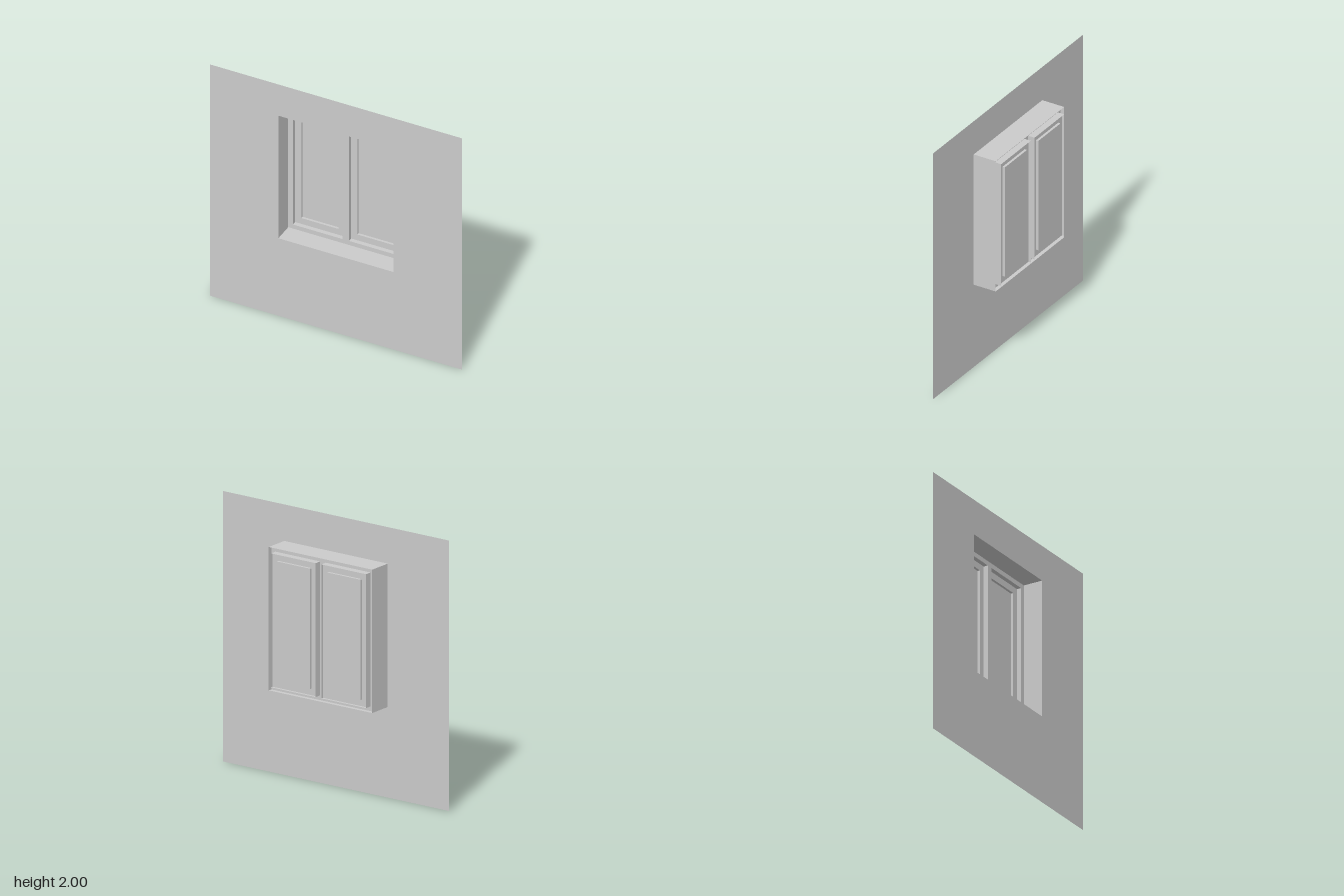
import * as THREE from 'three';
import { mergeGeometries } from 'three/addons/utils/BufferGeometryUtils.js';

const material = new THREE.MeshStandardMaterial({ color: 0xcccccc, side: THREE.DoubleSide });

// Rectangle as centre and half sizes
const rect = (x, y, hw, hh) => ({ x, y, hw, hh });

function trace(path, { x, y, hw, hh }) {
  path.moveTo(x - hw, y - hh);
  path.lineTo(x + hw, y - hh);
  path.lineTo(x + hw, y + hh);
  path.lineTo(x - hw, y + hh);
  path.closePath();
  return path;
}

// Flat sheet facing +z with rectangular openings
function sheet(name, outer, holes, z) {
  const shape = trace(new THREE.Shape(), outer);
  shape.holes = holes.map((h) => trace(new THREE.Path(), h));
  const mesh = new THREE.Mesh(new THREE.ShapeGeometry(shape), material);
  mesh.position.z = z;
  mesh.name = name;
  return mesh;
}

// Four thin walls around a rectangle, facing inward, from z0 back to z1
function sleeve(name, { x, y, hw, hh }, z0, z1) {
  const depth = z0 - z1;
  const zMid = (z0 + z1) / 2;
  const walls = [];
  for (const s of [-1, 1]) {
    walls.push(new THREE.PlaneGeometry(depth, 2 * hh).rotateY(-s * Math.PI / 2).translate(x + s * hw, y, zMid));
    walls.push(new THREE.PlaneGeometry(2 * hw, depth).rotateX(s * Math.PI / 2).translate(x, y + s * hh, zMid));
  }
  const mesh = new THREE.Mesh(mergeGeometries(walls), material);
  mesh.name = name;
  return mesh;
}

export function createModel() {
  const model = new THREE.Group();
  model.name = 'windowInWall';

  const wallZ = 0.103, revealZ = -0.08, frameZ = -0.05, sashZ = -0.084, backZ = -0.103;
  const opening = rect(0, 1.2, 0.457, 0.53);
  const sashes = [-1, 1].map((s) => rect(s * 0.2225, 1.2, 0.1975, 0.495));

  // Wall with its opening, the deep reveal and the fixed frame with mullion
  model.add(sheet('wall', rect(0, 1, 1, 1), [opening], wallZ));
  model.add(sleeve('reveal', opening, wallZ, revealZ));
  model.add(sheet('windowFrame', opening, sashes, frameZ));

  // Two sashes, each stepping back to its pane
  sashes.forEach((outer, i) => {
    const sash = new THREE.Group();
    sash.name = i ? 'leftSash' : 'rightSash';
    const pane = rect(outer.x, outer.y, outer.hw - 0.05, outer.hh - 0.05);
    sash.add(
      sleeve('sashEdge', outer, frameZ, backZ),
      sheet('sashFace', outer, [pane], sashZ),
      sleeve('paneEdge', pane, sashZ, backZ),
      sheet('pane', pane, [], backZ),
    );
    model.add(sash);
  });
  return model;
}
